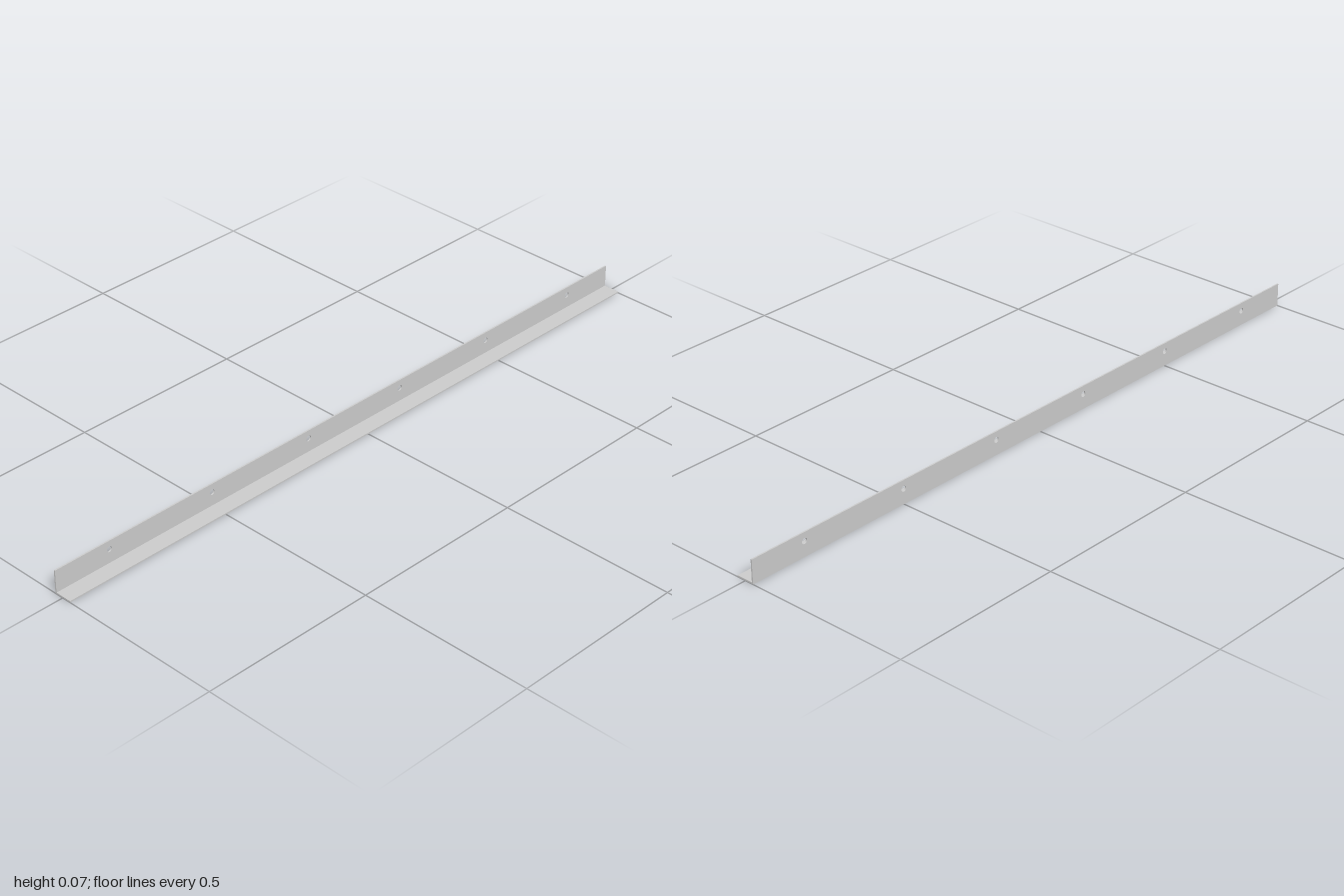
import * as THREE from 'three';

const LENGTH = 2, HEIGHT = 0.067, DEPTH = 0.052, T = 0.004;
const HOLES = 6, HOLE_R = 0.008, HOLE_Y = 0.043;

export function createModel() {
  const group = new THREE.Group();
  group.name = 'angleBar';
  const material = new THREE.MeshStandardMaterial({ color: 0xcccccc });

  // Upright flange with a row of evenly spaced screw holes
  const plate = new THREE.Shape();
  plate.moveTo(-LENGTH / 2, 0);
  plate.lineTo(LENGTH / 2, 0);
  plate.lineTo(LENGTH / 2, HEIGHT);
  plate.lineTo(-LENGTH / 2, HEIGHT);
  plate.closePath();
  const pitch = LENGTH / HOLES;
  for (let i = 0; i < HOLES; i++) {
    const hole = new THREE.Path();
    hole.absarc(-LENGTH / 2 + (i + 0.5) * pitch, HOLE_Y, HOLE_R, 0, Math.PI * 2, true);
    plate.holes.push(hole);
  }
  const upright = new THREE.Mesh(
    new THREE.ExtrudeGeometry(plate, { depth: T, bevelEnabled: false, curveSegments: 24 }),
    material
  );
  upright.name = 'uprightFlange';
  upright.position.z = -DEPTH / 2;
  group.add(upright);

  // Plain flange lying flat, reaching forward from the foot of the upright
  const base = new THREE.Mesh(new THREE.BoxGeometry(LENGTH, T, DEPTH - T), material);
  base.name = 'baseFlange';
  base.position.set(0, T / 2, T / 2);
  group.add(base);

  return group;
}
